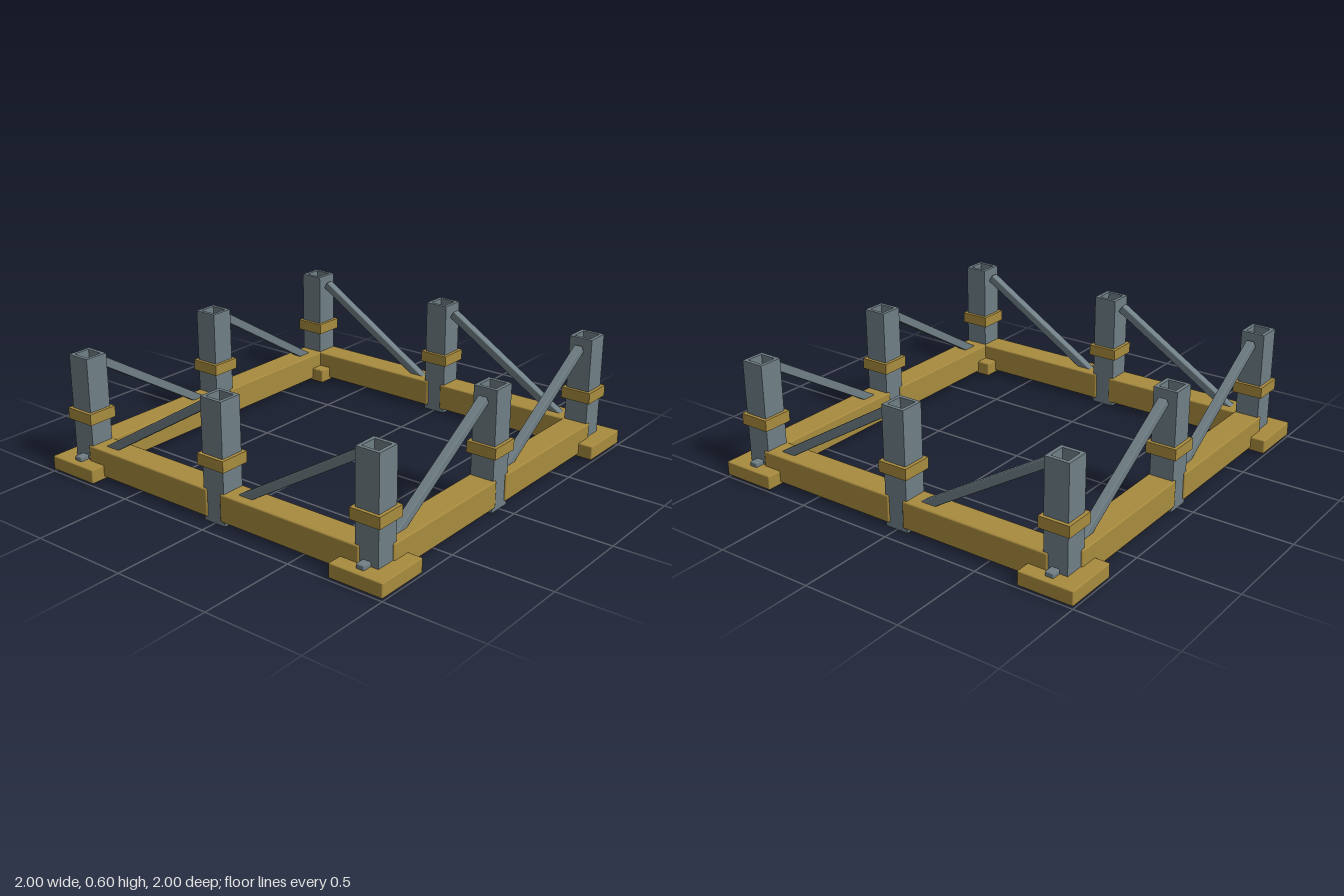
import * as THREE from 'three';
import { RoundedBoxGeometry } from 'three/addons/geometries/RoundedBoxGeometry.js';

const OFF = 0.857; // distance from the centre to each row of posts

export function createModel() {
  const model = new THREE.Group();
  model.name = 'postFrame';
  const wood = new THREE.MeshStandardMaterial({ color: 0xa88b3e });
  wood.name = 'ochre wood';
  const steel = new THREE.MeshStandardMaterial({ color: 0x6f7e85 });
  steel.name = 'grey steel';

  const add = (parent, name, geometry, material, x, y, z) => {
    const mesh = new THREE.Mesh(geometry, material);
    mesh.name = name;
    mesh.position.set(x, y, z);
    parent.add(mesh);
    return mesh;
  };
  const square = (Type, s) => new Type([[-s, -s], [s, -s], [s, s], [-s, s]].map(([x, y]) => new THREE.Vector2(x, y)));
  // upright square tube standing on y = 0
  const squareTube = (outer, inner, height) => {
    const shape = square(THREE.Shape, outer / 2);
    shape.holes.push(square(THREE.Path, inner / 2));
    return new THREE.ExtrudeGeometry(shape, { depth: height, bevelEnabled: false }).rotateX(-Math.PI / 2);
  };

  const cornerPost = squareTube(0.122, 0.086, 0.57);
  const midPost = squareTube(0.122, 0.086, 0.6);
  const collar = squareTube(0.156, 0.12, 0.056);
  const pad = new RoundedBoxGeometry(0.28, 0.072, 0.28, 1, 0.006);
  const beam = new RoundedBoxGeometry(0.78, 0.138, 0.138, 1, 0.008);

  // sloping strut lying in the plane of one side
  const low = new THREE.Vector2(-0.785, 0.11), high = new THREE.Vector2(-0.07, 0.55);
  const slope = high.clone().sub(low);
  const brace = new RoundedBoxGeometry(slope.length(), 0.044, 0.044, 1, 0.006);

  // four identical sides, turned about the vertical axis
  for (let i = 0; i < 4; i++) {
    const side = new THREE.Group();
    side.name = 'side' + (i + 1);
    side.rotation.y = i * Math.PI / 2;
    add(side, 'cornerPad', pad, wood, 0.86, 0.046, 0.86);
    add(side, 'cornerPost', cornerPost, steel, OFF, 0.03, OFF);
    add(side, 'midPost', midPost, steel, 0, 0, OFF);
    for (const x of [0, OFF]) add(side, 'collar', collar, wood, x, 0.274, OFF);
    for (const s of [-1, 1]) add(side, 'beam', beam, wood, s * 0.43, 0.091, OFF);
    for (const dx of [0, OFF]) {
      const b = add(side, 'brace', brace, steel, (low.x + high.x) / 2 + dx, (low.y + high.y) / 2, OFF);
      b.rotation.z = slope.angle();
    }
    model.add(side);
  }

  // bolts through the corner posts and blocks inside the middle posts
  const bolt = new RoundedBoxGeometry(0.15, 0.044, 0.044, 1, 0.006);
  const lug = new THREE.BoxGeometry(0.044, 0.044, 0.05);
  const block = new THREE.BoxGeometry(0.056, 0.04, 0.032);
  for (const sx of [-1, 1]) {
    for (const sz of [-1, 1]) {
      add(model, 'cornerBolt', bolt, steel, sx * 0.89, 0.082, sz * OFF);
      add(model, 'cornerLug', lug, steel, sx * OFF + 0.02, 0.1, sz * OFF - 0.018);
    }
  }
  for (const [x, z] of [[0, OFF], [0, -OFF], [OFF, 0], [-OFF, 0]]) {
    for (const s of [-1, 1]) add(model, 'innerBlock', block, steel, x, 0.15, z + s * 0.018);
  }
  return model;
}
